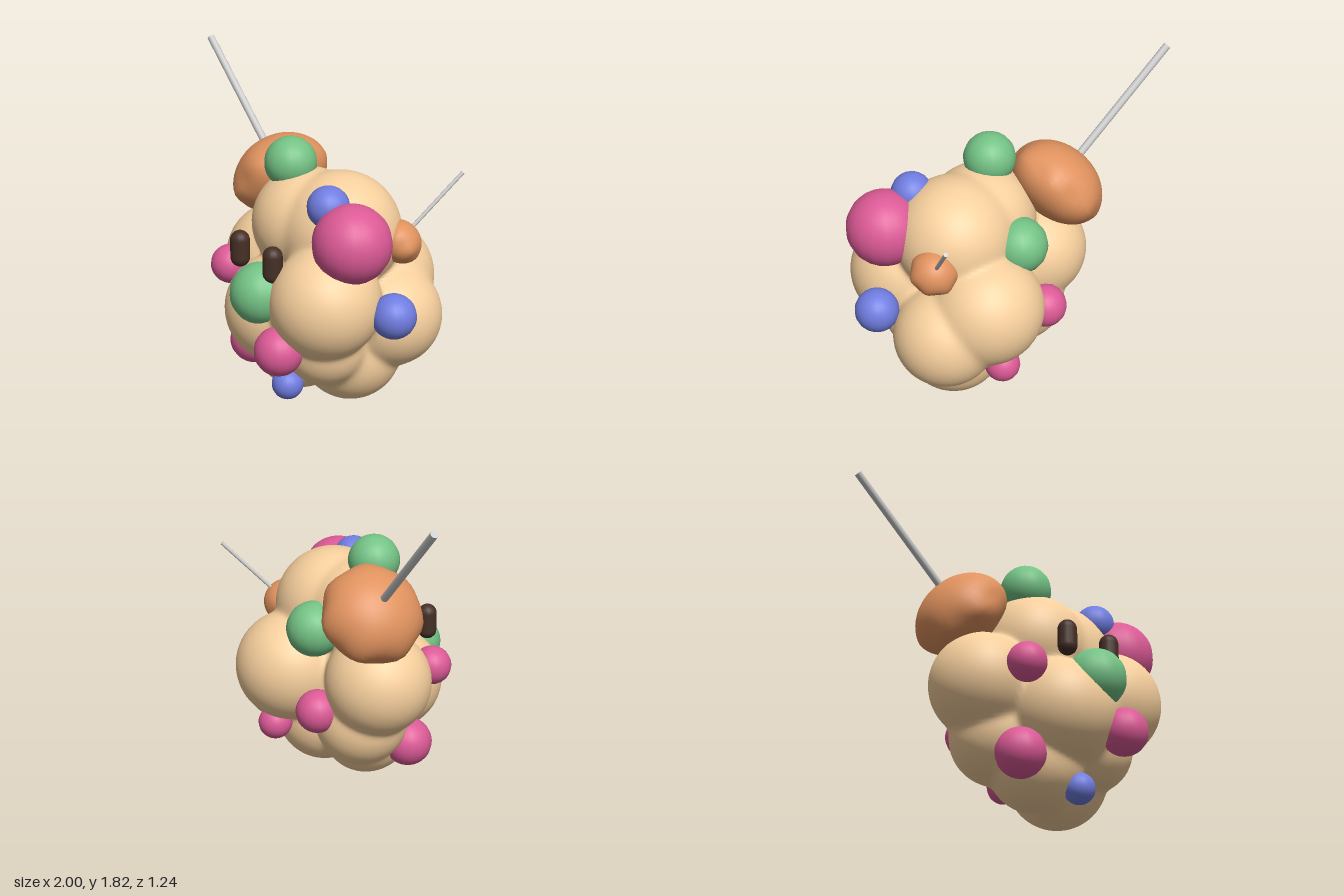
import * as THREE from 'three';
import { mergeVertices } from 'three/addons/utils/BufferGeometryUtils.js';

const material = (color) => new THREE.MeshStandardMaterial({ color });
const tan = material(0xf6cf9d), pink = material(0xdc5a96), green = material(0x74c285);
const blue = material(0x707de0), brown = material(0x463026), grey = material(0xcccccc);
const orange = material(0xe0925e);
const UP = new THREE.Vector3(0, 1, 0);

function add(parent, name, geometry, mat, x = 0, y = 0, z = 0) {
  const mesh = new THREE.Mesh(geometry, mat);
  mesh.name = name;
  mesh.position.set(x, y, z);
  parent.add(mesh);
  return mesh;
}

// Sphere reshaped by a rule on its vertices, welded for seamless smooth normals
function shapedSphere(columns, rows, rule) {
  const sphere = new THREE.SphereGeometry(1, columns, rows);
  sphere.deleteAttribute('uv');
  sphere.deleteAttribute('normal');
  const g = mergeVertices(sphere), p = g.attributes.position;
  const v = new THREE.Vector3();
  for (let i = 0; i < p.count; i++) {
    rule(v.fromBufferAttribute(p, i));
    p.setXYZ(i, v.x, v.y, v.z);
  }
  g.computeVertexNormals();
  return g;
}

// Body lobes: x, y, z, radius
const LOBES = [
  [0.16, 1.01, 0.04, 0.31], [0.38, 1.0, -0.01, 0.34], // head
  [-0.17, 0.7, -0.03, 0.304], [0.55, 0.7, 0.25, 0.308], // right side, left front
  [0.17, 0.55, 0.25, 0.31], [0.38, 0.67, -0.3, 0.323], // belly, back
  [0.59, 0.52, -0.2, 0.292], [-0.03, 0.43, -0.06, 0.27], // left back, right back
  [0.47, 0.42, 0.18, 0.24], [0.14, 0.28, 0.07, 0.27], // lower left front, bottom right
  [0.43, 0.3, -0.05, 0.29], [0.25, 0.65, 0, 0.32], // bottom left, core
];
const BODY_CENTRE = new THREE.Vector3(0.25, 0.65, 0);

// Distance to the lobes melted together with soft creases
function bodyDistance(q) {
  const k = 0.012;
  let sum = 0;
  for (const [x, y, z, r] of LOBES) sum += Math.exp((r - Math.hypot(q.x - x, q.y - y, q.z - z)) / k);
  return -k * Math.log(sum);
}

// Each vertex travels inwards along its ray until it meets the lobes
function bodyGeometry() {
  const q = new THREE.Vector3();
  return shapedSphere(144, 100, (v) => {
    let reach = 1;
    for (let step = 0; step < 80; step++) {
      const d = bodyDistance(q.copy(v).multiplyScalar(reach).add(BODY_CENTRE));
      if (d < 0.0005) break;
      reach -= d;
    }
    v.multiplyScalar(reach).add(BODY_CENTRE);
  });
}

// Crumpled lump: domed crown, rippled rim and a shallower underside
function crumpledLump(radius, crown, underside) {
  return shapedSphere(40, 24, (v) => {
    const a = Math.atan2(v.z, v.x), rim = Math.pow(1 - Math.abs(v.y), 2);
    const k = radius * (1 + rim * (0.04 * Math.sin(7 * a) + 0.02 * Math.sin(3 * a + 1)));
    v.set(v.x * k, v.y * (v.y > 0 ? crown : underside) + 0.03 * radius * rim * Math.cos(5 * a), v.z * k);
  });
}

// Lump with a thin rod running out of its crown to a tip
function lumpAndRod(parent, name, centre, tip, lump, rodRadius) {
  const group = new THREE.Group();
  group.name = name;
  const c = new THREE.Vector3(...centre), axis = new THREE.Vector3(...tip).sub(c);
  const length = axis.length();
  group.position.copy(c);
  group.quaternion.setFromUnitVectors(UP, axis.normalize());
  add(group, 'lump', lump, orange);
  add(group, 'rod', new THREE.CylinderGeometry(rodRadius, rodRadius, length, 12), grey, 0, length / 2, 0);
  parent.add(group);
}

export function createModel() {
  const model = new THREE.Group();
  model.name = 'lumpyCreature';

  add(model, 'body', bodyGeometry(), tan);

  // Coloured balls stuck over the body
  const balls = [
    ['topBall', green, 0.065, 1.34, 0.08, 0.148], ['noseBall', green, 0.245, 0.715, 0.45, 0.172],
    ['backBall', green, 0.13, 0.97, -0.275, 0.16],
    ['headBall', blue, 0.512, 1.225, 0.2, 0.117], ['leftSideBall', blue, 0.873, 0.67, 0.05, 0.124],
    ['lowerFrontBall', blue, 0.27, 0.12, 0.28, 0.09],
    ['largeHeadBall', pink, 0.7, 1.07, 0.2, 0.215], ['rightCheekBall', pink, -0.17, 0.73, 0.33, 0.112],
    ['bellyBall', pink, 0.43, 0.44, 0.48, 0.137], ['lowerRightBall', pink, -0.107, 0.25, 0.21, 0.142],
    ['rightBackBall', pink, -0.01, 0.525, -0.335, 0.125], ['lowerBackBall', pink, 0.36, 0.335, -0.42, 0.1],
  ];
  for (const [name, mat, x, y, z, r] of balls) add(model, name, new THREE.SphereGeometry(r, 18, 24), mat, x, y, z);

  // Upright capsule eyes
  for (const [name, x, z] of [['rightEye', 0.044, 0.43], ['leftEye', 0.352, 0.455]]) {
    add(model, name, new THREE.CapsuleGeometry(0.055, 0.1, 8, 16), brown, x, 0.912, z);
  }

  // Crumpled lumps with rods
  lumpAndRod(model, 'largeLumpAndRod', [-0.25, 1.145, -0.12], [-0.985, 1.815, -0.19],
    crumpledLump(0.285, 0.225, 0.19), 0.022);
  lumpAndRod(model, 'smallLumpAndRod', [0.65, 0.97, -0.195], [0.8, 1.335, -0.525],
    crumpledLump(0.13, 0.12, 0.11), 0.011);

  return model;
}
